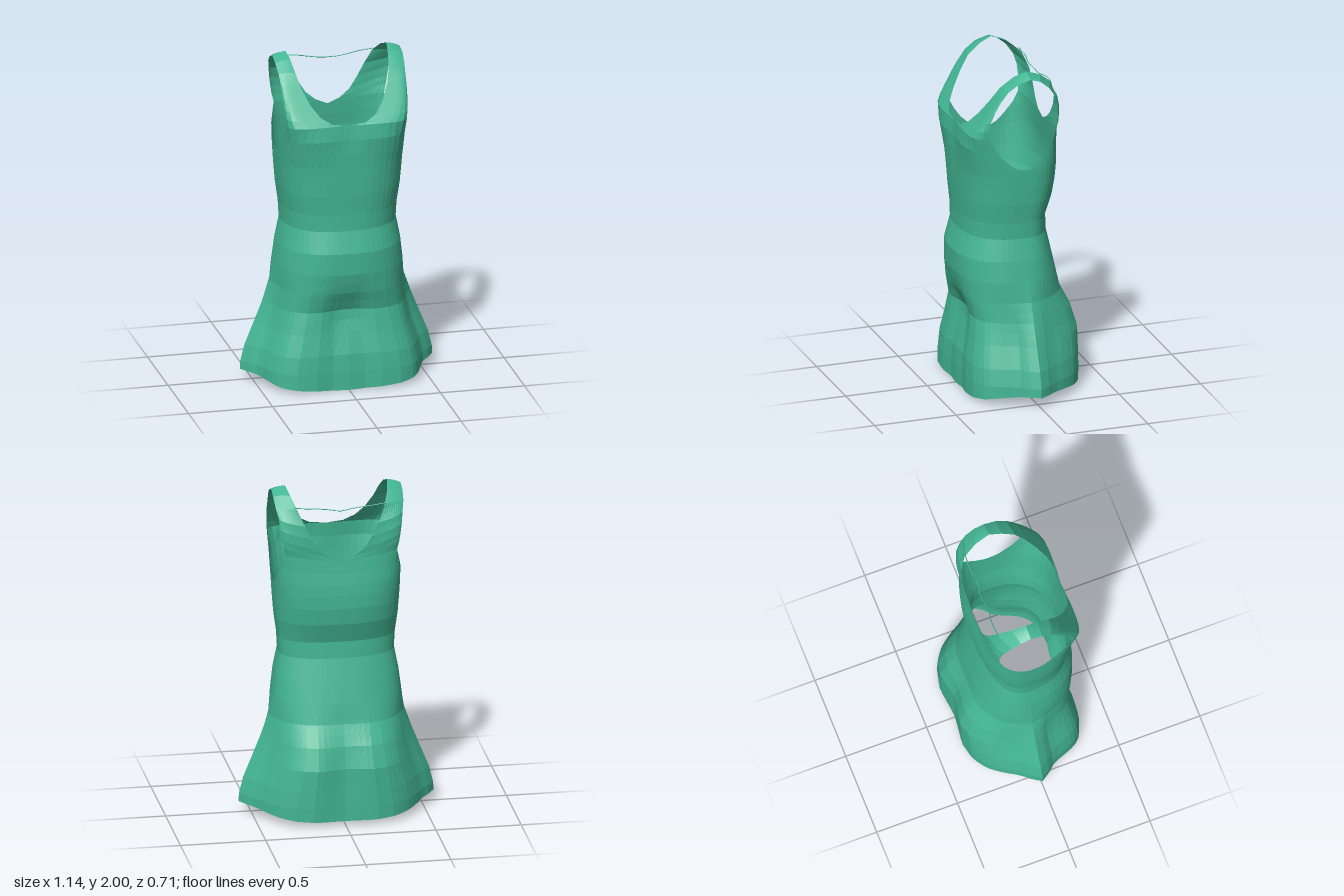
import * as THREE from 'three';

// Body measurements: height, half width, front depth, back depth, front squareness, back squareness
const SECTIONS = [
  [0.00, 0.575, 0.335, 0.345, 2.2, 2.2], [0.12, 0.57, 0.335, 0.35, 2.2, 2.2], [0.22, 0.545, 0.33, 0.352, 2.2, 2.2],
  [0.35, 0.492, 0.31, 0.356, 2.3, 2.2], [0.48, 0.44, 0.30, 0.322, 2.4, 2.3], [0.60, 0.398, 0.335, 0.265, 2.5, 2.3],
  [0.72, 0.38, 0.355, 0.24, 2.5, 2.3], [0.85, 0.362, 0.358, 0.21, 2.5, 2.3], [0.98, 0.337, 0.325, 0.18, 2.5, 2.3],
  [1.08, 0.342, 0.325, 0.175, 2.6, 2.4], [1.20, 0.357, 0.332, 0.215, 2.8, 2.5], [1.30, 0.363, 0.335, 0.228, 3.0, 2.7],
  [1.41, 0.367, 0.338, 0.228, 3.4, 3.1], [1.55, 0.366, 0.352, 0.21, 4.8, 4.2], [1.62, 0.366, 0.347, 0.205, 7, 5],
  [1.70, 0.369, 0.292, 0.212, 14, 6.5], [1.80, 0.376, 0.226, 0.207, 18, 7], [1.90, 0.382, 0.162, 0.17, 14, 7],
  [1.96, 0.381, 0.10, 0.105, 8, 6], [2.00, 0.375, 0, 0, 6, 6],
];
// Hem outline at even steps from front centre to back centre
const HEM = [
  [0, 0.335], [0.1, 0.328], [0.2, 0.345], [0.32, 0.335], [0.4, 0.29], [0.44, 0.225], [0.485, 0.105], [0.53, 0.06],
  [0.57, 0], [0.535, -0.055], [0.485, -0.11], [0.43, -0.2], [0.37, -0.27], [0.29, -0.322], [0.18, -0.347],
  [0.08, -0.335], [0, -0.328],
];
// Strap edge rows from chest to shoulder: neckline x, neckline y, armhole depth, armhole y
const FRONT_STRAP = [
  [0, 1.63, 0.245, 1.63], [0.10, 1.642, 0.25, 1.68], [0.165, 1.68, 0.24, 1.73], [0.215, 1.745, 0.214, 1.79],
  [0.255, 1.83, 0.18, 1.85], [0.278, 1.91, 0.135, 1.91], [0.29, 1.97, 0.07, 1.955], [0.30, 2.0, 0, 1.975],
];
const BACK_STRAP = [
  [0, 1.58, 0.175, 1.63], [0.07, 1.61, 0.18, 1.68], [0.13, 1.66, 0.18, 1.73], [0.175, 1.73, 0.175, 1.79],
  [0.215, 1.81, 0.155, 1.85], [0.255, 1.90, 0.115, 1.91], [0.285, 1.965, 0.06, 1.955], [0.30, 2.0, 0, 1.975],
];
// Lower armhole edge: z, y
const ARMHOLE = [
  [-0.175, 1.63], [-0.155, 1.57], [-0.11, 1.505], [-0.055, 1.445], [0, 1.415],
  [0.05, 1.413], [0.1, 1.435], [0.17, 1.5], [0.215, 1.57], [0.245, 1.63],
];
const COLS = 10; // columns across each chest panel
const SIDE_COLS = 7; // columns from panel edge to side seam
const bump = (v, centre, width) => Math.exp(-(((v - centre) / width) ** 2));

// Linear lookup in a table sorted by its first column
function lookup(table, v) {
  let i = 0;
  while (i < table.length - 2 && table[i + 1][0] < v) i++;
  const [a, b] = [table[i], table[i + 1]];
  const t = THREE.MathUtils.clamp((v - a[0]) / (b[0] - a[0]), 0, 1);
  return a.map((p, k) => p + (b[k] - p) * t);
}

// Section at a height, for the front (side 1) or back (side -1)
function sectionAt(y, side) {
  const [, width, front, back, nFront, nBack] = lookup(SECTIONS, y);
  return side > 0 ? { width, depth: front, n: nFront } : { width, depth: back, n: nBack };
}

// Point on the body; a = 0 is the front centre, PI the back centre
function surface(a, y) {
  const s = Math.sin(a), c = Math.cos(a);
  const { width, depth, n } = sectionAt(y, c);
  const r = 1 / (Math.abs(s) ** n + Math.abs(c) ** n) ** (1 / n);
  let x = width * r * s, z = depth * r * c;
  // Skirt changes gradually into the creased hem outline
  const flare = 1 - THREE.MathUtils.smoothstep(y, 0.3, 0.8);
  const u = (a / Math.PI) * (HEM.length - 1), k = Math.min(Math.floor(u), HEM.length - 2);
  const hem = HEM[k].map((p, i) => p + (HEM[k + 1][i] - p) * (u - k));
  x += (hem[0] / 0.57 * width - x) * flare;
  z += (hem[1] / 0.345 * depth - z) * flare;
  if (c > 0) {
    // Hollows between the legs and at the middle of the bust
    z -= 0.03 * bump(x, 0, 0.1) * bump(y, 0.46, 0.12);
    z -= 0.015 * bump(x, 0, 0.09) * bump(y, 1.57, 0.1);
  } else {
    // Dip along the lower back
    z += 0.012 * bump(x, 0, 0.09) * bump(y, 0.35, 0.25);
  }
  return new THREE.Vector3(x, y, z);
}

// Angle on the section for a given fraction of its width or depth
const angleFrom = (q, n) => Math.atan2(q, (1 - Math.min(q, 0.999) ** n) ** (1 / n));

function strapEdges([neckX, neckY, armZ, armY], side) {
  const inner = sectionAt(neckY, side), outer = sectionAt(armY, side);
  let aIn = angleFrom(neckX / inner.width, inner.n);
  let aOut = armZ ? Math.PI / 2 - angleFrom(armZ / outer.depth, outer.n) : Math.PI / 2;
  if (side < 0) [aIn, aOut] = [Math.PI - aIn, Math.PI - aOut];
  return { aIn, aOut };
}

// Joins rows of points into one sheet
function sheet(rows, mirrored) {
  const pos = [], index = [], n = rows[0].length;
  rows.forEach((row) => row.forEach((p) => pos.push(mirrored ? -p.x : p.x, p.y, p.z)));
  for (let i = 0; i < rows.length - 1; i++) {
    for (let j = 0; j < n - 1; j++) {
      const a = i * n + j, b = a + 1, c = a + n, d = c + 1;
      if (mirrored) index.push(a, c, b, b, c, d);
      else index.push(a, b, c, b, d, c);
    }
  }
  const g = new THREE.BufferGeometry();
  g.setAttribute('position', new THREE.Float32BufferAttribute(pos, 3));
  g.setIndex(index);
  g.computeVertexNormals();
  return g;
}

// Half of the dress below the straps, with the lower armhole cut into its top
function bodyRows() {
  const aFront = strapEdges(FRONT_STRAP[0], 1).aOut, aBack = strapEdges(BACK_STRAP[0], -1).aOut;
  const stops = [[0, aFront, COLS], [aFront, Math.PI / 2, SIDE_COLS], [Math.PI / 2, aBack, SIDE_COLS], [aBack, Math.PI, COLS]];
  const angles = [0];
  for (const [from, to, count] of stops) {
    for (let i = 1; i <= count; i++) angles.push(from + ((to - from) * i) / count);
  }
  const topOf = (a) => {
    if (a <= aFront) return 1.63;
    if (a >= aBack) return 1.63 - (0.05 * (a - aBack)) / (Math.PI - aBack);
    return lookup(ARMHOLE, surface(a, 1.55).z)[1];
  };
  const levels = [0, 0.12, 0.22, 0.35, 0.42, 0.48, 0.54, 0.6, 0.66, 0.72, 0.85, 0.92, 0.98, 1.08, 1.14, 1.2, 1.3, 1.38];
  const rows = levels.map((y, i) => angles.map((a) => {
    const c = Math.cos(a);
    return surface(a, i === 0 ? 0.07 - (c > 0 ? 0.065 : 0.04) * c * c : y);
  }));
  for (const t of [0.3, 0.65, 1]) rows.push(angles.map((a) => surface(a, 1.38 + (topOf(a) - 1.38) * t)));
  return rows;
}

// Half of the neckline, narrowing into the shoulder strap
function strapRows(table, side) {
  return table.map((row, i) => {
    const { aIn, aOut } = strapEdges(row, side);
    const pIn = surface(aIn, row[1]), pOut = surface(aOut, row[3]);
    const pts = Array.from({ length: COLS + 1 }, (_, j) => {
      const t = j / COLS;
      if (i < table.length - 3) return surface(aIn + (aOut - aIn) * t, row[1] + (row[3] - row[1]) * t);
      // Slight crown across the top of the shoulder
      const p = pIn.clone().lerp(pOut, t);
      p.y += 0.02 * t * (1 - t);
      return p;
    });
    return side > 0 ? pts : pts.reverse();
  });
}

export function createModel() {
  const model = new THREE.Group();
  model.name = 'dress';
  const fabric = new THREE.MeshStandardMaterial({ color: 0x43b693, flatShading: true, side: THREE.DoubleSide });
  fabric.name = 'green fabric';
  const add = (name, geometry) => {
    const mesh = new THREE.Mesh(geometry, fabric);
    mesh.name = name;
    model.add(mesh);
  };

  const body = bodyRows();
  const front = strapRows(FRONT_STRAP, 1);
  const back = strapRows(BACK_STRAP, -1);
  for (const [label, mirrored] of [['left', false], ['right', true]]) {
    add(label + 'Body', sheet(body, mirrored));
    add(label + 'FrontStrap', sheet(front, mirrored));
    add(label + 'BackStrap', sheet(back, mirrored));
  }

  // Thin cord between the straps behind the neck
  const half = [[0.28, 1.915, -0.16], [0.18, 1.905, -0.165], [0.085, 1.892, -0.152]];
  const cord = [...half, [0, 1.882, -0.163], ...half.slice().reverse().map(([x, y, z]) => [-x, y, z])];
  const path = new THREE.CatmullRomCurve3(cord.map((p) => new THREE.Vector3(...p)));
  add('neckCord', new THREE.TubeGeometry(path, 24, 0.003, 4));

  return model;
}
